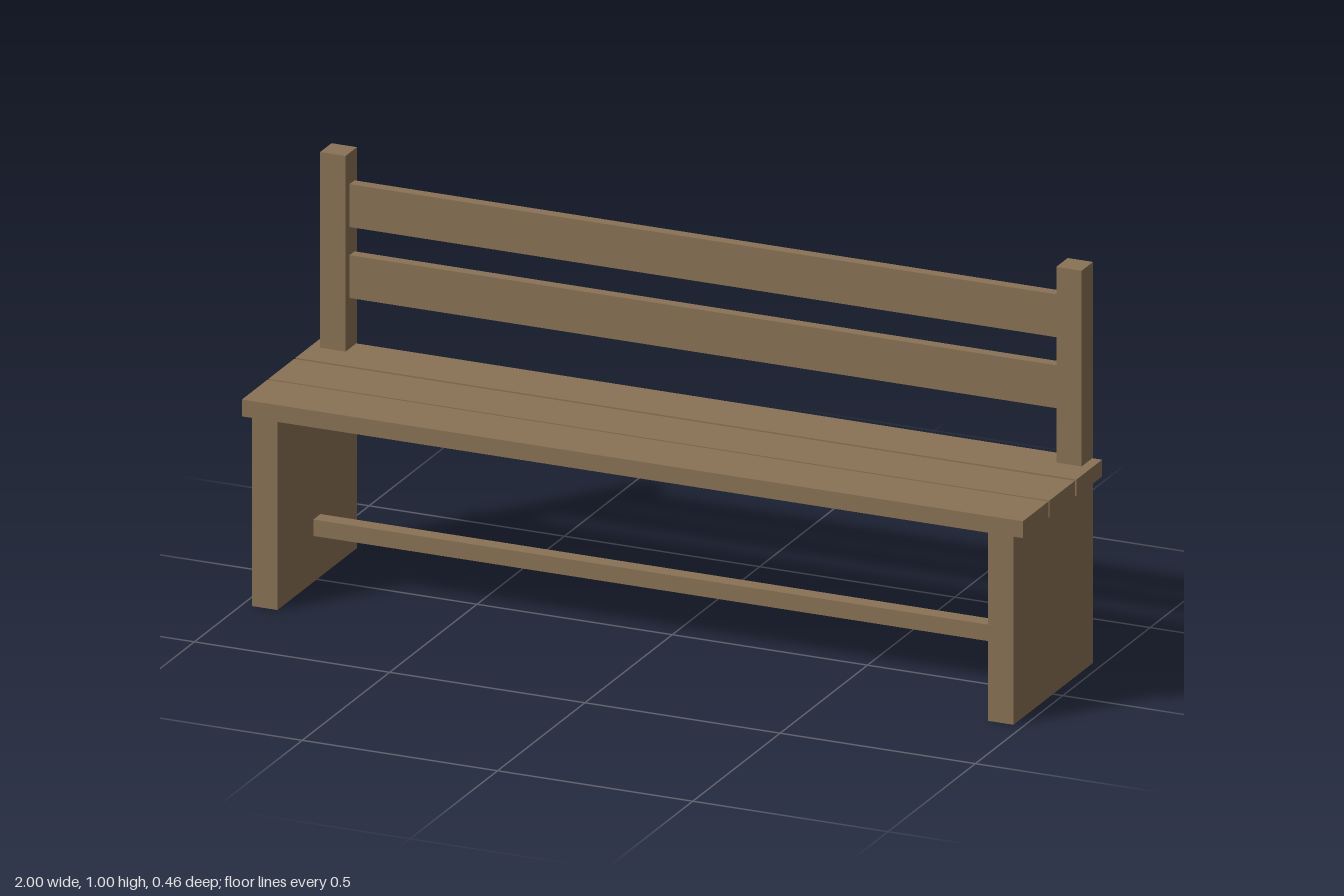
import * as THREE from 'three';

export function createModel() {
  const bench = new THREE.Group();
  bench.name = 'bench';
  const wood = new THREE.MeshStandardMaterial({ color: 0x8b7355 });
  wood.name = 'brown wood';

  // Box given by its lower and upper corners
  const board = (name, [x0, y0, z0], [x1, y1, z1]) => {
    const mesh = new THREE.Mesh(new THREE.BoxGeometry(x1 - x0, y1 - y0, z1 - z0), wood);
    mesh.position.set((x0 + x1) / 2, (y0 + y1) / 2, (z0 + z1) / 2);
    mesh.name = name;
    bench.add(mesh);
  };

  // End supports: leg panel and back post in one L-shaped profile (drawn as -z, y)
  const inner = 0.91, thickness = 0.065;
  const profile = new THREE.Shape([
    [-0.226, 0], [0.229, 0], [0.229, 1], [0.164, 1], [0.164, 0.47], [-0.226, 0.47],
  ].map(([u, y]) => new THREE.Vector2(u, y)));
  const supportGeometry = new THREE.ExtrudeGeometry(profile, { depth: thickness, bevelEnabled: false });
  supportGeometry.rotateY(Math.PI / 2);
  for (const [name, x] of [['leftSupport', inner], ['rightSupport', -inner - thickness]]) {
    const support = new THREE.Mesh(supportGeometry, wood);
    support.position.x = x;
    support.name = name;
    bench.add(support);
  }

  // Three seat planks
  [['frontSeatPlank', 0.155], ['middleSeatPlank', 0.003], ['rearSeatPlank', -0.152]].forEach(([name, z]) =>
    board(name, [-1, 0.47, z - 0.073], [1, 0.512, z + 0.073]));

  // Two backrest rails between the posts
  [['lowerBackRail', 0.638], ['upperBackRail', 0.815]].forEach(([name, y]) =>
    board(name, [-inner, y, -0.215], [inner, y + 0.107, -0.187]));

  // Stretcher between the leg panels
  board('stretcher', [-inner, 0.115, -0.02], [inner, 0.156, 0.02]);

  return bench;
}
